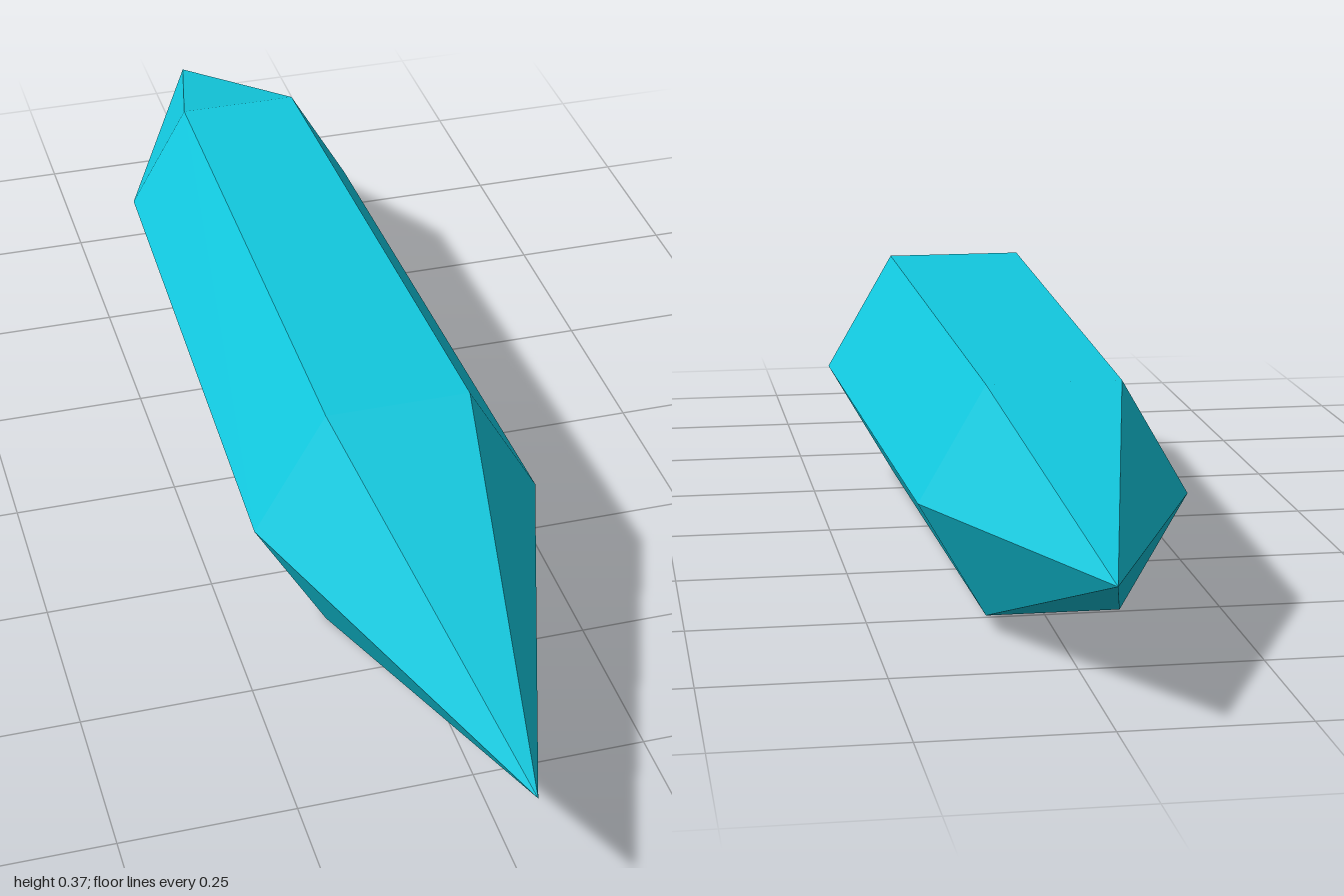
import * as THREE from 'three';

const FRONT_R = 0.212, BACK_R = 0.186;   // hexagon corner radii
const FRONT_Z = 0.373, BACK_Z = -0.565;  // where the shaft meets the points
const CENTRE_Y = FRONT_R * Math.sqrt(3) / 2;

export function createModel() {
  const crystal = new THREE.Group();
  crystal.name = 'crystal';
  const cyan = new THREE.MeshStandardMaterial({ color: 0x12c8de });
  cyan.name = 'cyan';

  // Open six-sided section running along z, with flat facets and corners on the x axis
  const section = (name, backZ, frontZ, backR, frontR) => {
    const length = frontZ - backZ;
    const geometry = new THREE.CylinderGeometry(frontR, backR, length, 6, 1, true, Math.PI / 6)
      .rotateX(Math.PI / 2)
      .toNonIndexed();
    geometry.computeVertexNormals();
    const mesh = new THREE.Mesh(geometry, cyan);
    mesh.name = name;
    mesh.position.set(0, CENTRE_Y, (backZ + frontZ) / 2);
    crystal.add(mesh);
  };

  section('frontPoint', FRONT_Z, 1, FRONT_R, 0);
  section('shaft', BACK_Z, FRONT_Z, BACK_R, FRONT_R);
  section('backPoint', -1, BACK_Z, 0, BACK_R);
  return crystal;
}
